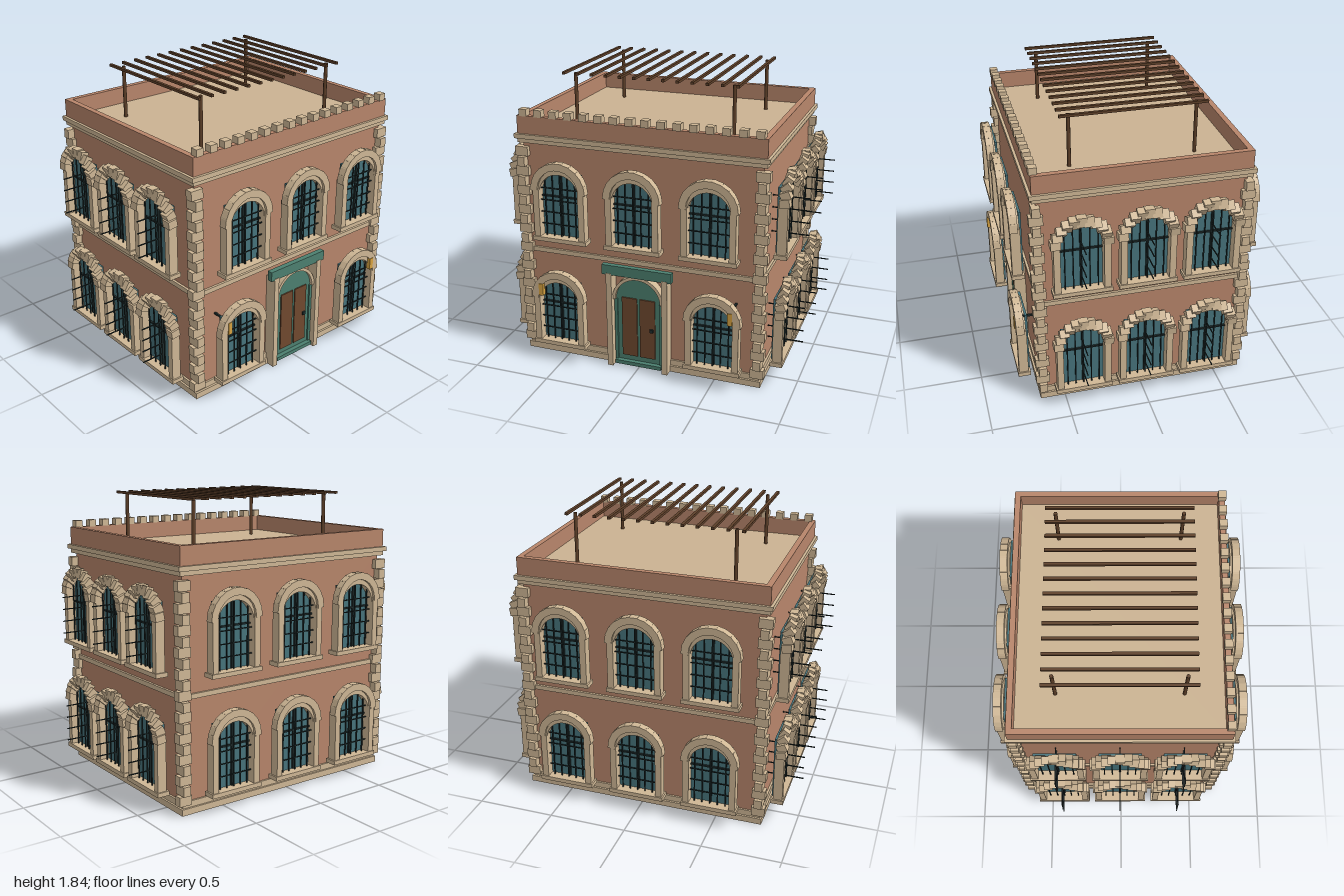
import * as THREE from 'three';

const mat = (color) => new THREE.MeshStandardMaterial({ color });
const M = {
  brick: mat(0xb8866b), stone: mat(0xd0b896), roof: mat(0xcbb392), glass: mat(0x47747c),
  iron: mat(0x1f2c2c), wood: mat(0x5e4029), panel: mat(0x70492f), green: mat(0x4c8070), lamp: mat(0xd9a441),
};
const CZ = -0.007; // middle of the house in z

function add(parent, name, geometry, material, x = 0, y = 0, z = 0) {
  const mesh = new THREE.Mesh(geometry, material);
  mesh.name = name;
  mesh.position.set(x, y, z);
  parent.add(mesh);
  return mesh;
}
const box = (parent, name, material, w, h, d, x, y, z) =>
  add(parent, name, new THREE.BoxGeometry(w, h, d), material, x, y, z);

// Box between two heights, centred on the house
const band = (parent, name, material, halfX, halfZ, y0, y1) =>
  box(parent, name, material, halfX * 2, y1 - y0, halfZ * 2, 0, (y0 + y1) / 2, CZ);

// Flat half ring standing on its ends
function archRing(rIn, rOut, depth) {
  const s = new THREE.Shape();
  s.absarc(0, 0, rOut, 0, Math.PI, false);
  s.absarc(0, 0, rIn, Math.PI, 0, true);
  s.closePath();
  return new THREE.ExtrudeGeometry(s, { depth, bevelEnabled: false, curveSegments: 16 });
}

// Window with its sill bottom at y = 0, facing local +z
function makeWindow(isSide) {
  const g = new THREE.Group();
  g.name = 'window';
  box(g, 'glass', M.glass, 0.265, 0.415, 0.015, 0, 0.23, -0.033);
  box(g, 'sill', M.stone, 0.36, 0.027, 0.08, 0, 0.0135, 0);
  for (const s of [-1, 1]) box(g, 'jamb', M.stone, 0.04, 0.32, 0.06, s * 0.15, 0.185, 0.003);

  // Mullions and iron grille
  box(g, 'mullion', M.iron, 0.012, 0.4, 0.012, 0, 0.23, -0.02);
  box(g, 'transom', M.iron, 0.26, 0.01, 0.012, 0, 0.285, -0.02);
  for (let i = -2; i <= 2; i++) box(g, 'grilleUpright', M.iron, 0.007, 0.4, 0.007, i * 0.05, 0.23, 0);
  for (let i = 0; i < 4; i++) {
    const y = 0.107 + i * 0.078;
    // the side grilles have their cross bars pointing outward
    if (isSide) box(g, 'grilleBar', M.iron, 0.006, 0.006, 0.26, 0, y, 0);
    else box(g, 'grilleBar', M.iron, 0.26, 0.006, 0.006, 0, y, 0);
  }

  // Arch stones; those of the side windows tilt outward instead of around the arch
  const n = 11;
  for (let i = 0; i < n; i++) {
    const a = (Math.PI * (i + 0.5)) / n;
    const stone = box(g, 'archStone', M.stone, 0.06, isSide ? 0.06 : 0.045, 0.05,
      Math.cos(a) * 0.158, 0.333 + Math.sin(a) * 0.158, 0.012);
    if (isSide) stone.rotation.x = a - Math.PI / 2;
    else stone.rotation.z = a - Math.PI / 2;
  }
  if (!isSide) add(g, 'archFrame', archRing(0.13, 0.165, 0.045), M.stone, 0, 0.308, -0.025);
  return g;
}

function addWindows(house) {
  for (const y of [0.115, 0.84]) {
    const upper = y > 0.5;
    for (const i of [-1, 0, 1]) {
      if (upper || i !== 0) {
        const front = makeWindow(false);
        front.position.set(i * (upper ? 0.48 : 0.51), y, CZ + 0.745);
        house.add(front);
      }
      const back = makeWindow(false);
      back.position.set(i * 0.48, y, CZ - 0.745);
      back.rotation.y = Math.PI;
      house.add(back);
      for (const s of [-1, 1]) {
        const side = makeWindow(true);
        side.position.set(s * 0.87, y, CZ + i * 0.4);
        side.rotation.y = (s * Math.PI) / 2;
        house.add(side);
      }
    }
  }
}

function makeDoor() {
  const g = new THREE.Group();
  g.name = 'entrance';
  for (const s of [-1, 1]) box(g, 'pilaster', M.stone, 0.037, 0.65, 0.09, s * 0.185, 0.325, 0.665);
  box(g, 'doorStep', M.green, 0.31, 0.025, 0.07, 0, 0.03, 0.665);

  // Arched door leaf
  const s = new THREE.Shape();
  s.moveTo(-0.16, 0.04);
  s.lineTo(0.16, 0.04);
  s.lineTo(0.16, 0.47);
  s.absarc(0, 0.47, 0.16, 0, Math.PI, false);
  s.closePath();
  add(g, 'doorLeaf', new THREE.ExtrudeGeometry(s, { depth: 0.045, bevelEnabled: false, curveSegments: 16 }),
    M.green, 0, 0, 0.625);
  add(g, 'doorArch', archRing(0.15, 0.17, 0.06), M.stone, 0, 0.47, 0.63);
  for (const x of [-1, 1]) {
    box(g, 'upperPanel', M.panel, 0.102, 0.25, 0.012, x * 0.06, 0.36, 0.672);
    box(g, 'lowerPanel', M.panel, 0.102, 0.165, 0.012, x * 0.06, 0.16, 0.672);
    box(g, 'doorSideFrame', M.green, 0.02, 0.43, 0.015, x * 0.15, 0.255, 0.672);
  }
  box(g, 'handle', M.iron, 0.022, 0.022, 0.02, 0.09, 0.28, 0.68);
  box(g, 'signBoard', M.green, 0.46, 0.065, 0.035, 0, 0.673, 0.69);
  return g;
}

export function createModel() {
  const house = new THREE.Group();
  house.name = 'house';

  // Body, plinth and string courses
  band(house, 'walls', M.brick, 0.77, 0.64, 0, 1.45);
  band(house, 'plinth', M.stone, 0.795, 0.665, 0, 0.04);
  band(house, 'plinthCap', M.stone, 0.783, 0.652, 0.04, 0.078);
  band(house, 'beltCourse', M.stone, 0.785, 0.655, 0.704, 0.734);
  band(house, 'lowerCornice', M.stone, 0.797, 0.667, 1.43, 1.458);
  band(house, 'upperCornice', M.stone, 0.812, 0.682, 1.458, 1.487);
  band(house, 'roof', M.roof, 0.76, 0.63, 1.487, 1.495);

  // Parapet walls and battlements along the front
  for (const s of [-1, 1]) {
    box(house, 'parapetLong', M.brick, 1.59, 0.115, 0.036, 0, 1.5445, CZ + s * 0.647);
    box(house, 'parapetShort', M.brick, 0.036, 0.115, 1.33, s * 0.777, 1.5445, CZ);
  }
  for (let i = 0; i < 16; i++)
    box(house, 'merlon', M.stone, 0.05, 0.045, 0.05, -0.75 + i * 0.1, 1.622, 0.64);

  // Corner quoins, alternating direction
  for (let i = 0; i < 21; i++) {
    const alongX = i % 2 === 0;
    for (const sx of [-1, 1]) for (const sz of [-1, 1])
      box(house, 'quoin', M.stone, alongX ? 0.085 : 0.05, 0.06, alongX ? 0.05 : 0.085,
        sx * 0.772, 0.092 + i * 0.0641, CZ + sz * 0.645);
  }

  addWindows(house);
  house.add(makeDoor());

  // Wall lanterns
  for (const s of [-1, 1]) {
    box(house, 'lanternArm', M.iron, 0.012, 0.012, 0.13, s * 0.625, 0.54, 0.69);
    box(house, 'lantern', M.lamp, 0.03, 0.08, 0.03, s * 0.625, 0.5, 0.765);
  }

  // Roof pergola
  for (const x of [-0.515, 0.515]) for (const z of [-0.395, 0.38])
    add(house, 'pergolaPost', new THREE.CylinderGeometry(0.012, 0.012, 0.34, 8), M.wood, x, 1.66, z);
  for (let i = 0; i < 13; i++)
    box(house, 'pergolaSlat', M.wood, 0.019, 0.016, 0.9, -0.57 + i * 0.0933, 1.835, -0.007);

  return house;
}
